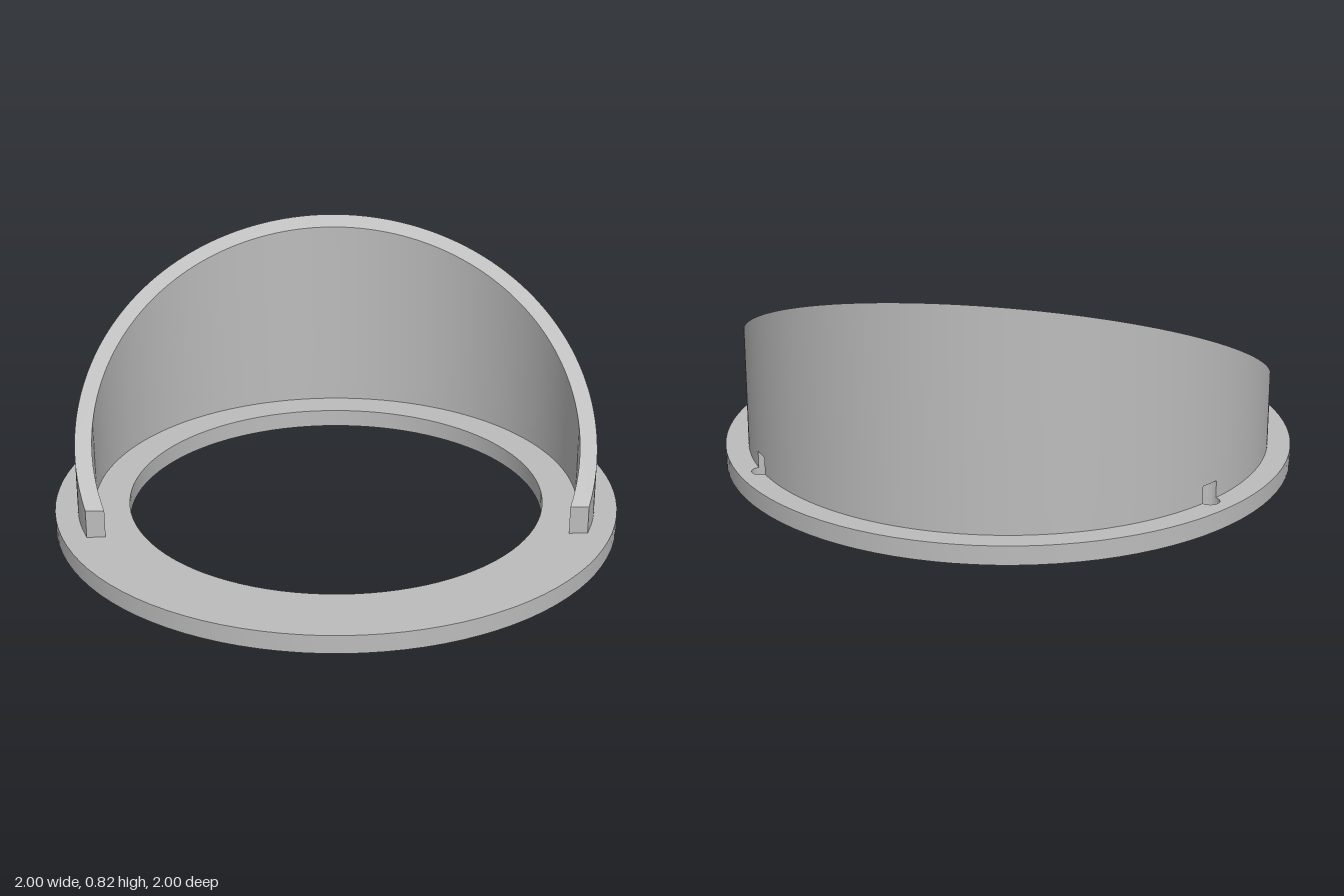
import * as THREE from 'three';
import { toCreasedNormals } from 'three/addons/utils/BufferGeometryUtils.js';

const BASE_TOP = 0.065, NOTCH_TOP = 0.125;
const OUTER = 0.92, INNER = 0.86, END_Z = 0.325;
const HOLE_R = 0.034, HOLE_ANGLE = Math.atan2(0.525, 0.755);
const HOLE_ANGLES = [HOLE_ANGLE, Math.PI - HOLE_ANGLE];

// Extrudes a plan (shape y points to the back) upward from y0 to y1
function extrudeUp(shape, y0, y1) {
  const geometry = new THREE.ExtrudeGeometry(shape, { depth: y1 - y0, bevelEnabled: false, curveSegments: 48 });
  return geometry.rotateX(-Math.PI / 2).translate(0, y0, 0);
}

// Flat ring with two small through holes
function baseShape() {
  const shape = new THREE.Shape().absarc(0, 0, 1, 0, Math.PI * 2, false);
  shape.holes.push(new THREE.Path().absarc(0, 0, 0.737, 0, Math.PI * 2, true));
  for (const a of HOLE_ANGLES) {
    shape.holes.push(new THREE.Path().absarc(OUTER * Math.cos(a), OUTER * Math.sin(a), HOLE_R, 0, Math.PI * 2, true));
  }
  return shape;
}

// Open arc of the wall, with or without the round notches over the holes
function wallShape(notched) {
  const shape = new THREE.Shape();
  const d = 2 * Math.asin(HOLE_R / 2 / OUTER);
  let from = -Math.asin(END_Z / OUTER);
  const end = Math.PI - from;
  for (const a of HOLE_ANGLES) {
    shape.absarc(0, 0, OUTER, from, a - d, false);
    if (notched) {
      const turn = Math.PI / 2 + d / 2;
      shape.absarc(OUTER * Math.cos(a), OUTER * Math.sin(a), HOLE_R, a - turn, a + turn, true);
    } else {
      shape.absarc(0, 0, OUTER, a - d, a + d, false);
    }
    from = a + d;
  }
  shape.absarc(0, 0, OUTER, from, end, false);
  const inner = -Math.asin(END_Z / INNER);
  shape.absarc(0, 0, INNER, Math.PI - inner, inner, true);
  shape.closePath();
  return shape;
}

export function createModel() {
  const group = new THREE.Group();
  const grey = new THREE.MeshStandardMaterial({ color: 0xbcbcbc });
  grey.name = 'light grey';

  const add = (name, geometry) => {
    const mesh = new THREE.Mesh(toCreasedNormals(geometry, 0.5), grey);
    mesh.name = name;
    group.add(mesh);
  };

  add('baseRing', extrudeUp(baseShape(), 0, BASE_TOP));
  add('notchedWallFoot', extrudeUp(wallShape(true), BASE_TOP, NOTCH_TOP));

  // Upper wall: its top is cut by a plane rising to the back
  const wall = extrudeUp(wallShape(false), NOTCH_TOP, 1);
  const p = wall.attributes.position;
  for (let i = 0; i < p.count; i++) {
    if (p.getY(i) > 0.5) p.setY(i, 0.335 - 0.522 * p.getZ(i));
  }
  add('slopedWall', wall);

  return group;
}
